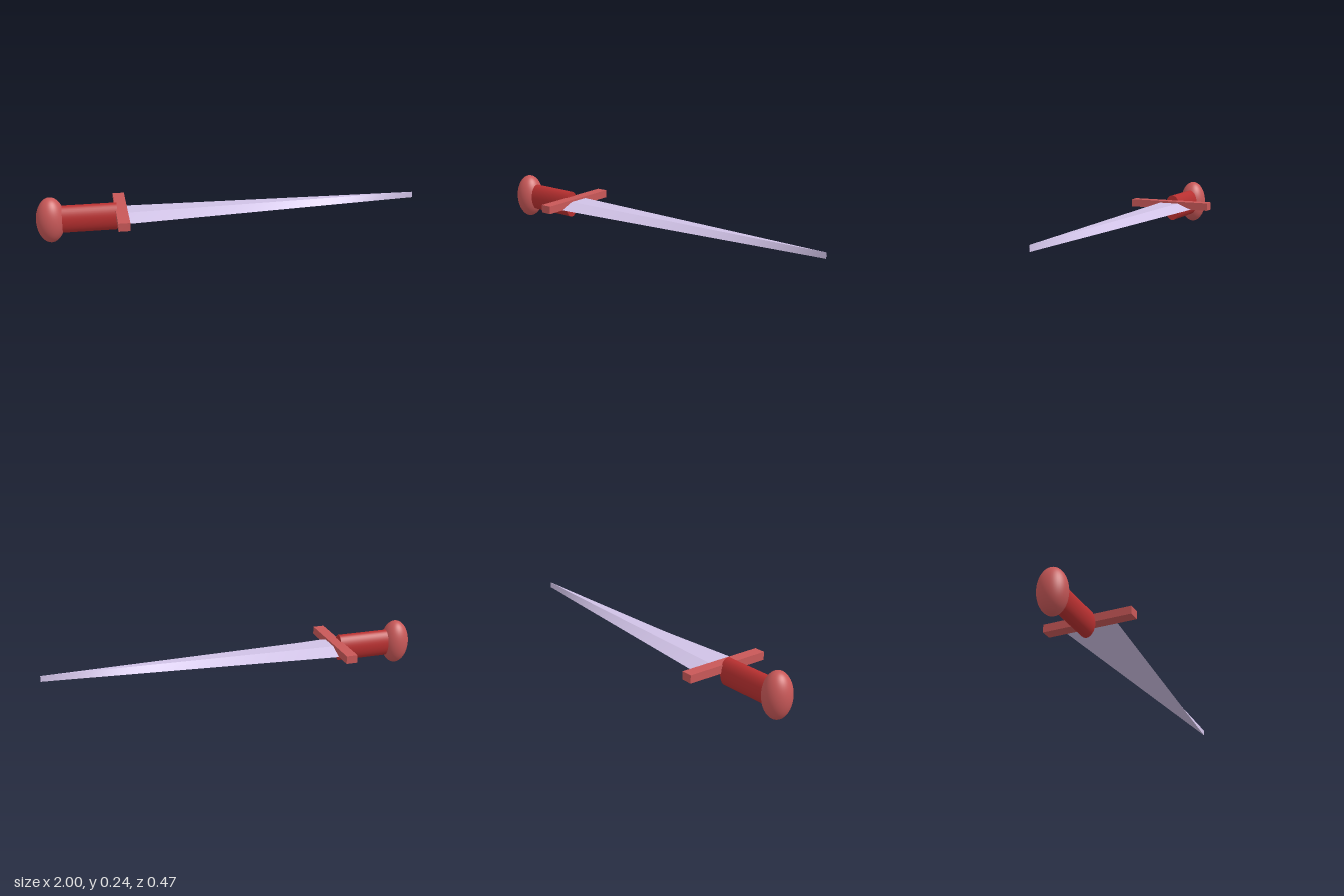
import * as THREE from 'three';

const TRIM = 0xc85858;
const GRIP = 0xb83030;
const STEEL = 0xd0c2e6;
const AXIS_Y = 0.12;

function part(name, geometry, color, x, y) {
  const mesh = new THREE.Mesh(geometry, new THREE.MeshStandardMaterial({ color }));
  mesh.name = name;
  mesh.position.set(x, y, 0);
  return mesh;
}

// Box with bevelled upper sides whose width shrinks to an upright edge at the tip
function bladeGeometry(length, height, bottomHalf, topHalf) {
  const geo = new THREE.BoxGeometry(length, height, 2, 32, 1, 1);
  const pos = geo.attributes.position;
  for (let i = 0; i < pos.count; i++) {
    const t = pos.getX(i) / length + 0.5;
    const half = pos.getY(i) > 0 ? topHalf : bottomHalf;
    pos.setZ(i, pos.getZ(i) * Math.max(half * (1 - t), 0.0005));
  }
  geo.computeVertexNormals();
  return geo;
}

export function createModel() {
  const sword = new THREE.Group();
  sword.name = 'sword';

  // Pommel: tall ellipsoid
  const pommel = new THREE.SphereGeometry(1, 40, 28).scale(0.073, 0.119, 0.073);
  sword.add(part('pommel', pommel, TRIM, -0.927, AXIS_Y));

  // Grip: oval cylinder lying along x
  const grip = new THREE.CylinderGeometry(1, 1, 0.32, 40)
    .rotateZ(-Math.PI / 2)
    .scale(1, 0.072, 0.045);
  sword.add(part('grip', grip, GRIP, -0.752, AXIS_Y));

  // Crossguard: bar across z
  sword.add(part('crossguard', new THREE.BoxGeometry(0.06, 0.042, 0.466), TRIM, -0.569, 0.143));

  // Blade: flat underneath, bevelled above
  sword.add(part('blade', bladeGeometry(1.55, 0.031, 0.135, 0.055), STEEL, 0.225, 0.138));

  return sword;
}
